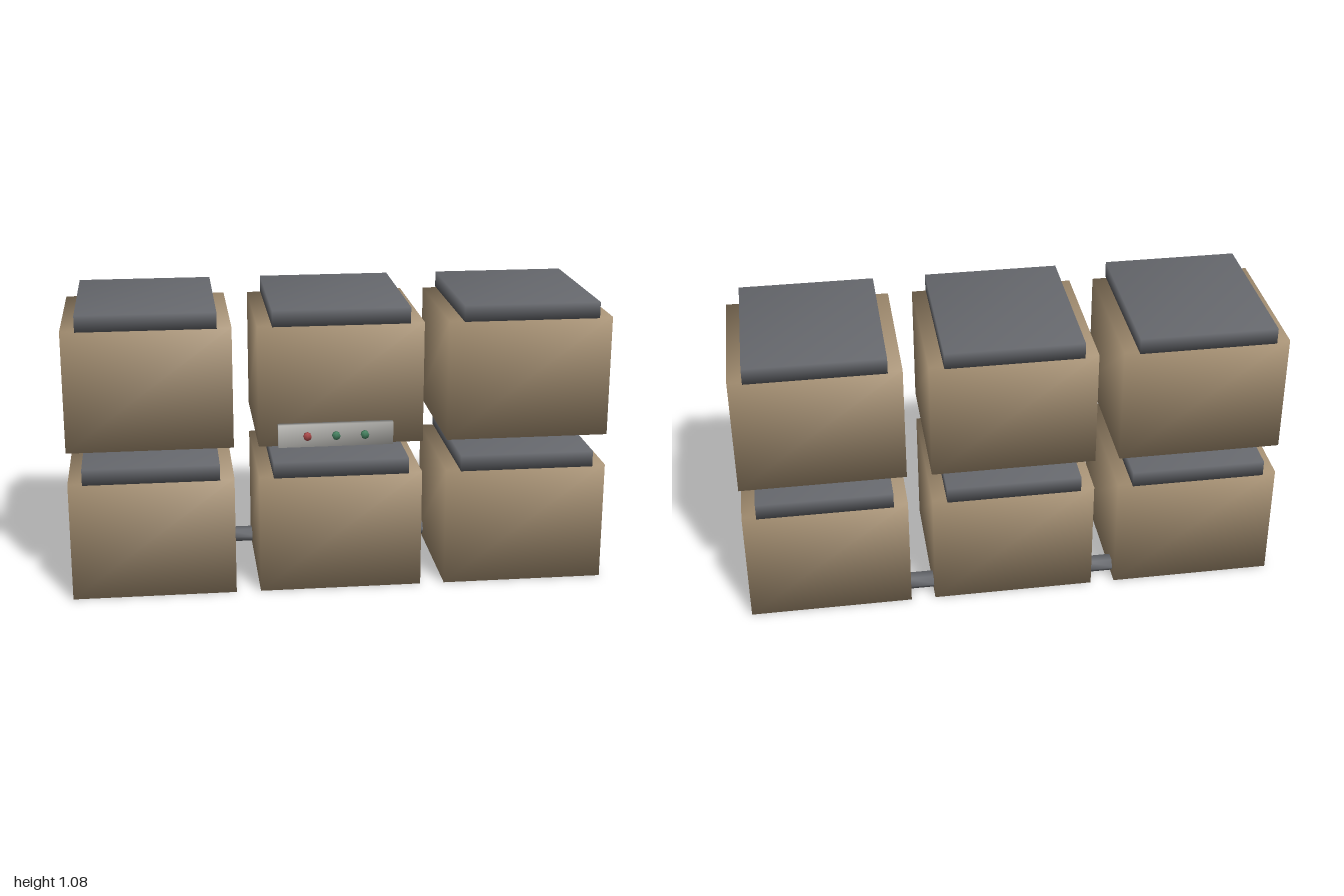
import * as THREE from 'three';
import { mergeVertices } from 'three/addons/utils/BufferGeometryUtils.js';

const material = (color) => new THREE.MeshStandardMaterial({ color });

// Shares corner vertices so the normals blend softly around the edges
function soften(geometry) {
  geometry.deleteAttribute('normal');
  geometry.deleteAttribute('uv');
  const merged = mergeVertices(geometry, 1e-4);
  merged.computeVertexNormals();
  return merged;
}

function addMesh(parent, name, geometry, mat, x, y, z) {
  const mesh = new THREE.Mesh(soften(geometry), mat);
  mesh.name = name;
  mesh.position.set(x, y, z);
  parent.add(mesh);
  return mesh;
}

export function createModel() {
  const model = new THREE.Group();
  model.name = 'stackedBins';
  const tan = material(0xa89274);
  const dark = material(0x66686d);
  const grey = material(0xa9a8a4);
  const red = material(0xa84848);
  const green = material(0x44805f);

  // Two rows of three bins, each with a narrow overhanging lid
  for (const y of [0, 0.57]) {
    for (const x of [-0.697, 0, 0.697]) {
      const bin = new THREE.Group();
      bin.name = 'bin';
      bin.position.set(x, y, -0.0225);
      addMesh(bin, 'binBody', new THREE.BoxGeometry(0.606, 0.45, 0.575), tan, 0, 0.225, 0);
      addMesh(bin, 'binLid', new THREE.BoxGeometry(0.5, 0.06, 0.605), dark, 0, 0.48, 0);
      model.add(bin);
    }
  }

  // Connecting pipes between the lower bins, near the back
  for (const side of [-1, 1]) {
    const pipe = new THREE.CylinderGeometry(0.038, 0.038, 0.13, 6);
    pipe.rotateZ(Math.PI / 2);
    pipe.scale(1, 0.75, 1);
    addMesh(model, 'connectingPipe', pipe, dark, side * 0.3485, 0.037, -0.24);
  }

  // Control panel in front of the upper middle bin
  const panel = new THREE.Group();
  panel.name = 'controlPanel';
  panel.position.set(-0.025, 0.62, 0.3);
  addMesh(panel, 'panelPlate', new THREE.BoxGeometry(0.42, 0.084, 0.026), grey, 0, 0, 0);
  [red, green, green].forEach((mat, i) => {
    const button = new THREE.CylinderGeometry(0.015, 0.015, 0.016, 8);
    button.rotateX(Math.PI / 2);
    addMesh(panel, 'panelButton', button, mat, (i - 1) * 0.105, 0, 0.019);
  });
  model.add(panel);

  return model;
}
